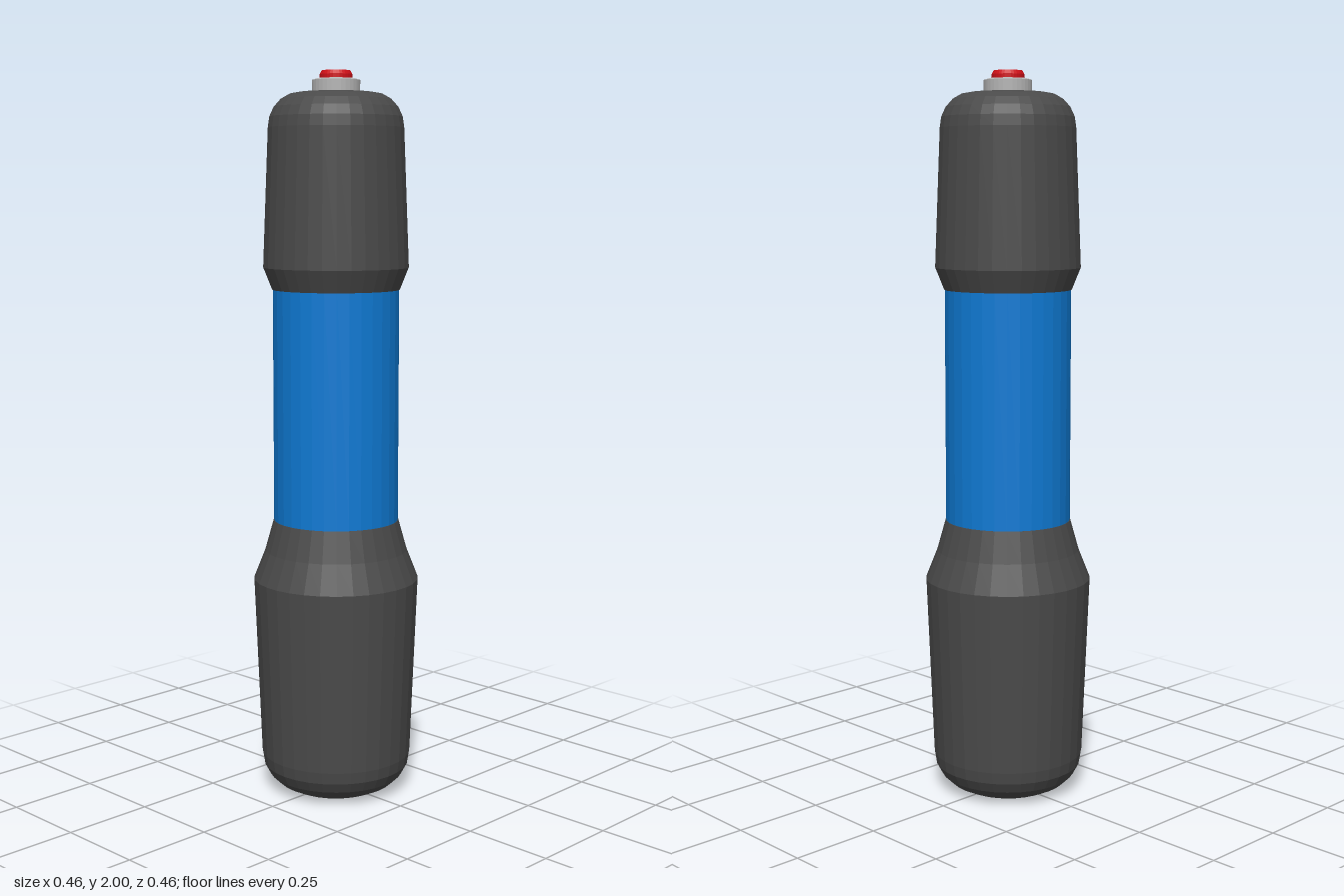
import * as THREE from 'three';

const SIDES = 32;

// Faceted solid of revolution; profile is [radius, y] from bottom to top
function turned(name, color, profile) {
  const points = profile.map(([r, y]) => new THREE.Vector2(r, y));
  const material = new THREE.MeshStandardMaterial({ color, flatShading: true });
  const mesh = new THREE.Mesh(new THREE.LatheGeometry(points, SIDES), material);
  mesh.name = name;
  return mesh;
}

// Rounded shoulder from the outer wall (r0, y0) to the flat end (r1, y1)
function shoulder(r0, y0, r1, y1, steps = 5) {
  const points = [];
  for (let i = 0; i <= steps; i++) {
    const a = (i / steps) * Math.PI / 2;
    points.push([r1 + (r0 - r1) * Math.cos(a), y0 + (y1 - y0) * Math.sin(a)]);
  }
  return points;
}

export function createModel() {
  const group = new THREE.Group();
  group.name = 'injectorPen';
  const rubber = 0x4a4a4a;

  // Lower grip, with a round socket in its underside
  group.add(turned('lowerGrip', rubber, [
    [0, 0.2], [0.075, 0.2], [0.075, 0.005],
    ...shoulder(0.21, 0.11, 0.1, 0.005).reverse(),
    [0.23, 0.61], [0.198, 0.69], [0.174, 0.775], [0, 0.775],
  ]));

  // Coloured barrel
  group.add(turned('barrel', 0x0f7ad4, [
    [0, 0.76], [0.173, 0.76], [0.173, 1.43], [0, 1.43],
  ]));

  // Upper grip
  group.add(turned('upperGrip', rubber, [
    [0, 1.415], [0.175, 1.415], [0.199, 1.475],
    ...shoulder(0.184, 1.85, 0.1, 1.943),
    [0, 1.948],
  ]));

  // Button collar
  group.add(turned('buttonCollar', 0xb4b4b4, [
    [0, 1.93], [0.065, 1.93], [0.065, 1.975], [0.053, 1.979], [0, 1.979],
  ]));

  // Push button
  group.add(turned('button', 0xd01018, [
    [0, 1.97], [0.044, 1.97], [0.044, 1.99], [0.039, 2.0], [0, 2.0],
  ]));

  // The grip ends just above the ground: shift so the model rests on y = 0
  group.children[0].scale.y = 0.775 / 0.77;
  group.children[0].position.y = 0.775 - 0.775 * group.children[0].scale.y;
  return group;
}
